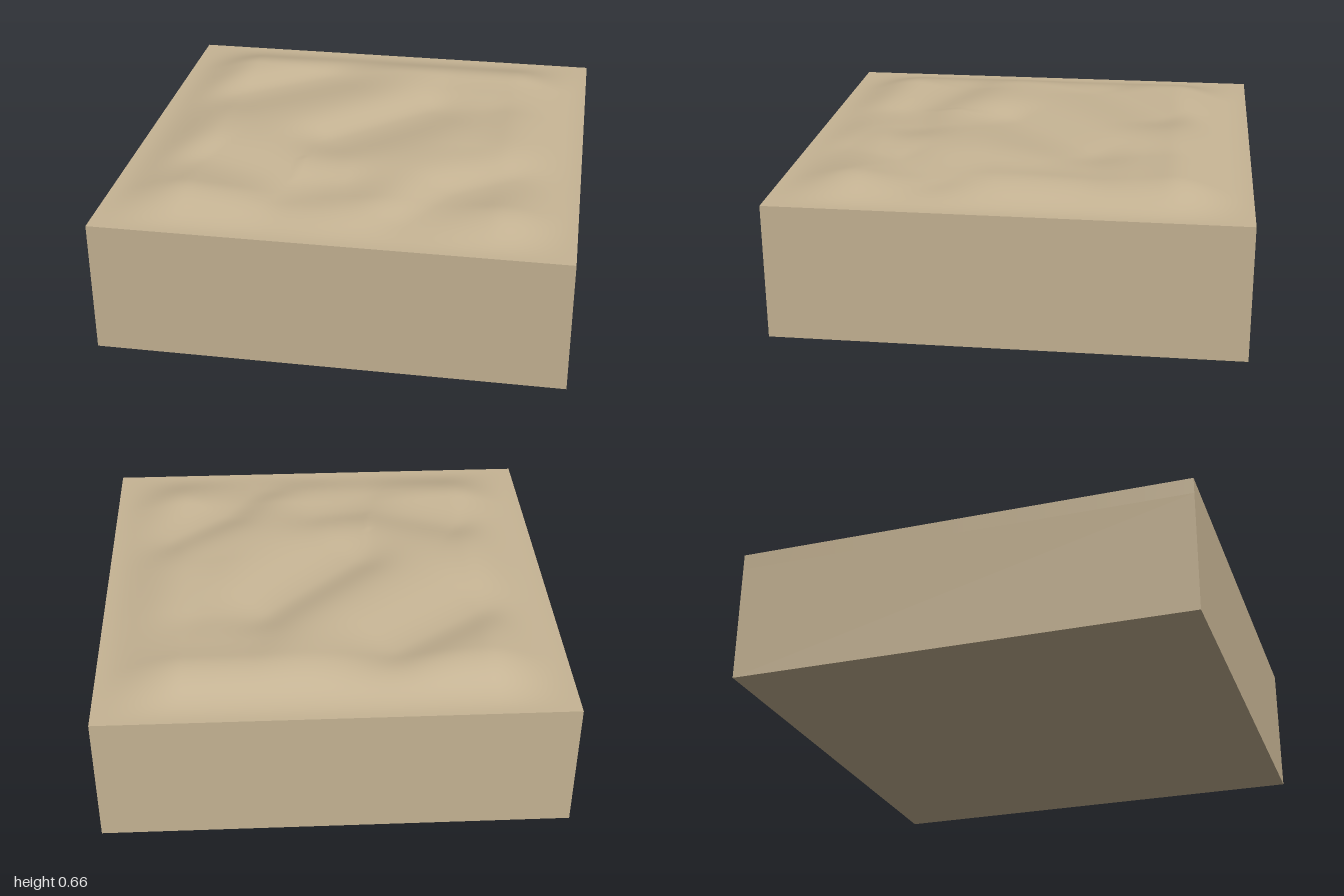
import * as THREE from 'three';

const HALF = 1, RIM = 0.59, SEAM = 0.52, CREST = 0.073, SEGMENTS = 100;

// Troughs between the dunes: centre line as [x, z] points, plus depth
const TROUGHS = [
  { depth: 0.042, line: [[-0.66, -0.31], [-0.27, -0.59]] },
  { depth: 0.045, line: [[-0.12, 0.1], [0.28, -0.28]] },
  { depth: 0.038, line: [[-0.65, 0.42], [-0.25, 0.58], [0, 0.55]] },
  { depth: 0.046, line: [[0.32, 0.8], [0.47, 0.55], [0.72, 0.36]] },
  { depth: 0.018, line: [[0.35, -0.52], [0.65, -0.52]] },
  { depth: 0.018, line: [[0.6, -0.3], [0.58, 0.1]] },
  { depth: 0.018, line: [[-0.2, 0.72], [-0.2, 0.88]] },
];

// Offset from the nearest point of a polyline
function offsetFromLine(x, z, line) {
  let best = [Infinity, 0, 0];
  for (let i = 0; i < line.length - 1; i++) {
    const [ax, az] = line[i], [bx, bz] = line[i + 1];
    const ux = bx - ax, uz = bz - az;
    const t = THREE.MathUtils.clamp(((x - ax) * ux + (z - az) * uz) / (ux * ux + uz * uz), 0, 1);
    const dx = x - ax - t * ux, dz = z - az - t * uz;
    const d = Math.hypot(dx, dz);
    if (d < best[0]) best = [d, dx, dz];
  }
  return best;
}

// Dune height above the rim; steep slip faces look toward +x +z
function duneHeight(x, z) {
  let h = CREST;
  for (const { depth, line } of TROUGHS) {
    const [d, dx, dz] = offsetFromLine(x, z, line);
    const width = 0.14 + (d > 0 ? 0.025 * (dx + dz) / d : 0);
    h -= depth * Math.exp(-(d * d) / (2 * width * width));
  }
  const fade = (v) => 1 - THREE.MathUtils.smoothstep(Math.abs(v), 0.64, 0.98);
  return Math.max(h, 0.012) * fade(x) * fade(z);
}

export function createModel() {
  const group = new THREE.Group();
  group.name = 'sandBlock';
  const sand = new THREE.MeshStandardMaterial({ color: 0xc6b494 });

  // Solid lower block
  const base = new THREE.Mesh(new THREE.BoxGeometry(2 * HALF, SEAM, 2 * HALF), sand);
  base.name = 'baseBlock';
  base.position.y = SEAM / 2;
  group.add(base);

  // Top slab whose upper face is raised into dunes
  const slab = new THREE.BoxGeometry(2 * HALF, RIM - SEAM, 2 * HALF, SEGMENTS, 1, SEGMENTS);
  slab.translate(0, (RIM + SEAM) / 2, 0);
  const pos = slab.attributes.position;
  for (let i = 0; i < pos.count; i++) {
    if (pos.getY(i) > RIM - 0.001) pos.setY(i, RIM + duneHeight(pos.getX(i), pos.getZ(i)));
  }
  slab.computeVertexNormals();
  const dunes = new THREE.Mesh(slab, sand);
  dunes.name = 'duneSurface';
  group.add(dunes);

  return group;
}
